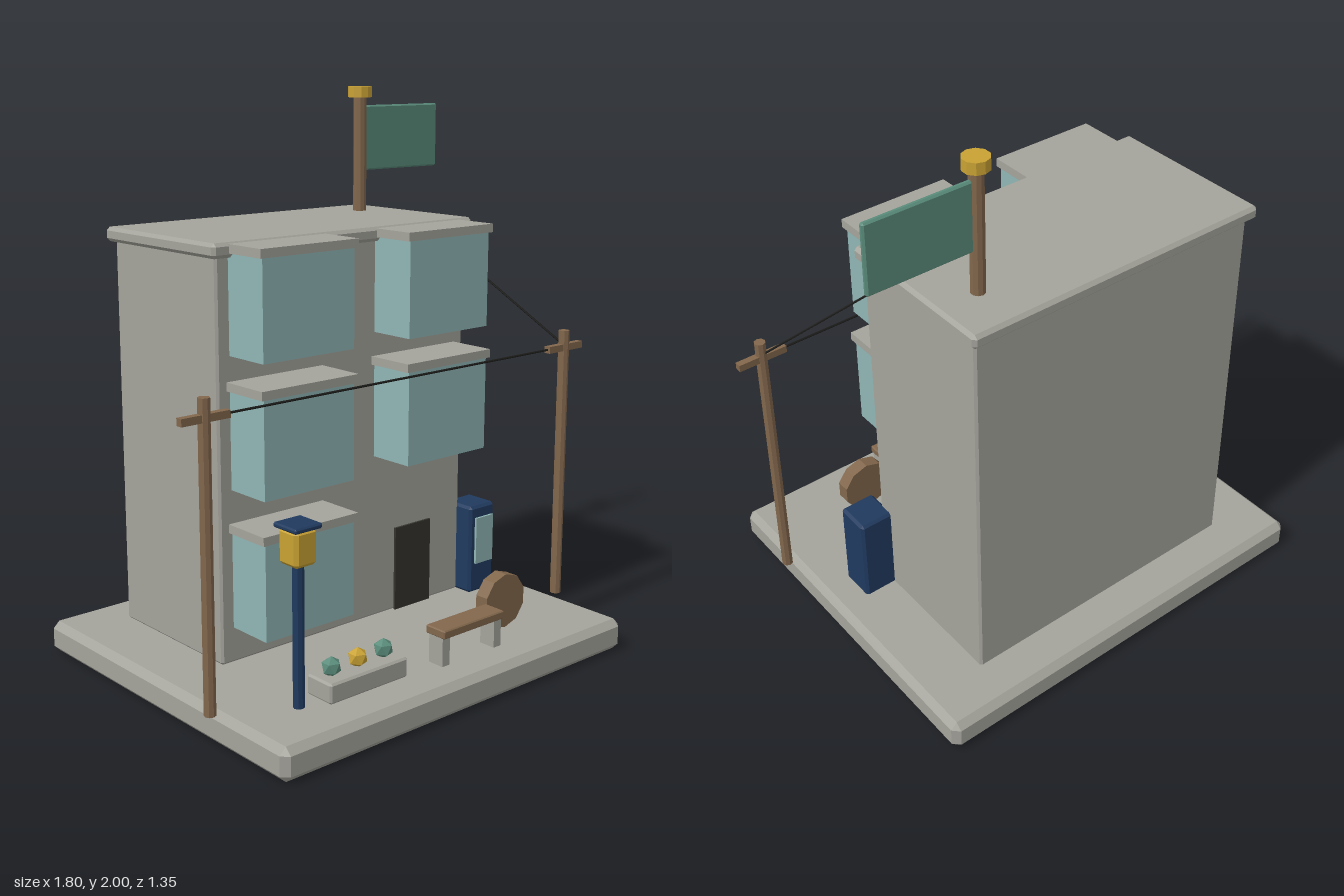
import * as THREE from 'three';
import { ConvexGeometry } from 'three/addons/geometries/ConvexGeometry.js';

const mat = (name, color, extra = {}) => {
  const m = new THREE.MeshStandardMaterial({ color, flatShading: true, ...extra });
  m.name = name;
  return m;
};

export function createModel() {
  const root = new THREE.Group();
  root.name = 'streetCorner';

  const stone = mat('stone', 0xa4a39b);
  const glass = mat('glass', 0x8fb6b5);
  const wood = mat('wood', 0x82674c);
  const green = mat('green', 0x5a8c7b);
  const gold = mat('gold', 0xc9a234);
  const navy = mat('navy', 0x203a5f);
  const dark = mat('dark', 0x33322c);
  const black = mat('black', 0x1c1c1a);

  const add = (name, geometry, material, x = 0, y = 0, z = 0, parent = root) => {
    const mesh = new THREE.Mesh(geometry, material);
    mesh.name = name;
    mesh.position.set(x, y, z);
    parent.add(mesh);
    return mesh;
  };

  // Box given by its limits, with optionally chamfered edges
  const block = (name, material, [x0, x1], [y0, y1], [z0, z1], bevel = 0, parent = root) => {
    const size = [x1 - x0, y1 - y0, z1 - z0];
    let geometry = new THREE.BoxGeometry(...size);
    if (bevel) {
      const points = [];
      for (const sx of [-1, 1]) for (const sy of [-1, 1]) for (const sz of [-1, 1]) {
        for (let axis = 0; axis < 3; axis++) {
          const p = [sx, sy, sz].map((s, i) => s * (size[i] / 2 - (i === axis ? 0 : bevel)));
          points.push(new THREE.Vector3(...p));
        }
      }
      geometry = new ConvexGeometry(points);
    }
    return add(name, geometry, material, (x0 + x1) / 2, (y0 + y1) / 2, (z0 + z1) / 2, parent);
  };

  // Upright post between two heights
  const post = (name, material, r, sides, x, y0, y1, z, parent = root) =>
    add(name, new THREE.CylinderGeometry(r, r, y1 - y0, sides), material, x, (y0 + y1) / 2, z, parent);

  const group = (name) => {
    const g = new THREE.Group();
    g.name = name;
    root.add(g);
    return g;
  };

  const ground = 0.115;

  // Ground slab and building
  block('groundSlab', stone, [-0.79, 0.79], [0, ground], [-0.675, 0.675], 0.024);
  block('building', stone, [-0.56, 0.56], [ground, 1.5], [-0.515, 0.06], 0.008);
  block('roof', stone, [-0.585, 0.58], [1.49, 1.54], [-0.54, 0.085], 0.012);
  block('door', dark, [0.225, 0.4], [ground, 0.43], [0.06, 0.069]);

  // Bay windows with slab caps: three on one side, two above the door
  const bays = group('bayWindows');
  for (const [x, floors] of [[-0.32, [0.24, 0.72, 1.17]], [0.312, [0.72, 1.17]]]) {
    for (const y of floors) {
      block('bayWindow', glass, [x - 0.19, x + 0.19], [y, y + 0.335], [0.055, 0.237], 0, bays);
      block('bayCap', stone, [x - 0.203, x + 0.203], [y + 0.335, y + 0.365], [0.055, 0.245], 0, bays);
    }
  }

  // Flag on the roof
  post('flagPole', wood, 0.025, 10, 0.427, 1.54, 1.965, -0.36);
  post('flagPoleKnob', gold, 0.045, 10, 0.427, 1.96, 2, -0.36);
  block('flag', green, [0.445, 0.82], [1.69, 1.93], [-0.37, -0.35], 0.006);

  // Utility poles with crossarms
  const lines = group('utilityPoles');
  for (const side of [-1, 1]) {
    const x = side * 0.812;
    post('utilityPole', wood, 0.02, 8, x, ground, 1.13, 0.335, lines);
    block('crossarm', wood, [x - 0.09, x + 0.09], [1.055, 1.08], [0.322, 0.347], 0, lines);
  }

  // Wires between the poles and to the wall
  const wire = (a, b) => {
    const path = new THREE.LineCurve3(new THREE.Vector3(...a), new THREE.Vector3(...b));
    add('wire', new THREE.TubeGeometry(path, 1, 0.004, 6), black, 0, 0, 0, lines);
  };
  wire([-0.812, 1.068, 0.335], [0.812, 1.068, 0.335]);
  wire([0.812, 1.075, 0.335], [0.555, 1.44, -0.035]);

  // Street lamp
  const lamp = group('streetLamp');
  post('lampPost', navy, 0.019, 8, -0.566, ground, 0.6, 0.47, lamp);
  block('lantern', gold, [-0.611, -0.521], [0.59, 0.71], [0.425, 0.515], 0.012, lamp);
  block('lampCap', navy, [-0.621, -0.511], [0.707, 0.724], [0.415, 0.525], 0.005, lamp);

  // Planter with three faceted plants
  const planter = group('planter');
  block('planterBox', stone, [-0.485, -0.15], [ground, 0.185], [0.41, 0.53], 0.007, planter);
  const plant = new THREE.IcosahedronGeometry(0.035, 0).rotateZ(-Math.atan(2 / (1 + Math.sqrt(5))));
  [green, gold, green].forEach((m, i) => add('plant', plant, m, -0.43 + i * 0.113, 0.212, 0.468, planter));

  // Bench
  const bench = group('bench');
  block('benchSeat', wood, [-0.013, 0.278], [0.215, 0.245], [0.472, 0.56], 0.004, bench);
  for (const x of [-0.01, 0.24]) {
    block('benchLeg', stone, [x, x + 0.034], [ground, 0.216], [0.486, 0.55], 0, bench);
  }

  // Wooden disc standing on edge
  const disc = new THREE.CylinderGeometry(0.1, 0.1, 0.052, 10).rotateX(Math.PI / 2);
  add('woodenDisc', disc, wood, 0.402, 0.217, 0.426);

  // Vending cabinet with a window
  block('cabinet', navy, [0.55, 0.68], [ground, 0.455], [0, 0.133], 0.01);
  block('cabinetWindow', glass, [0.574, 0.664], [0.23, 0.41], [0.133, 0.142]);

  return root;
}
